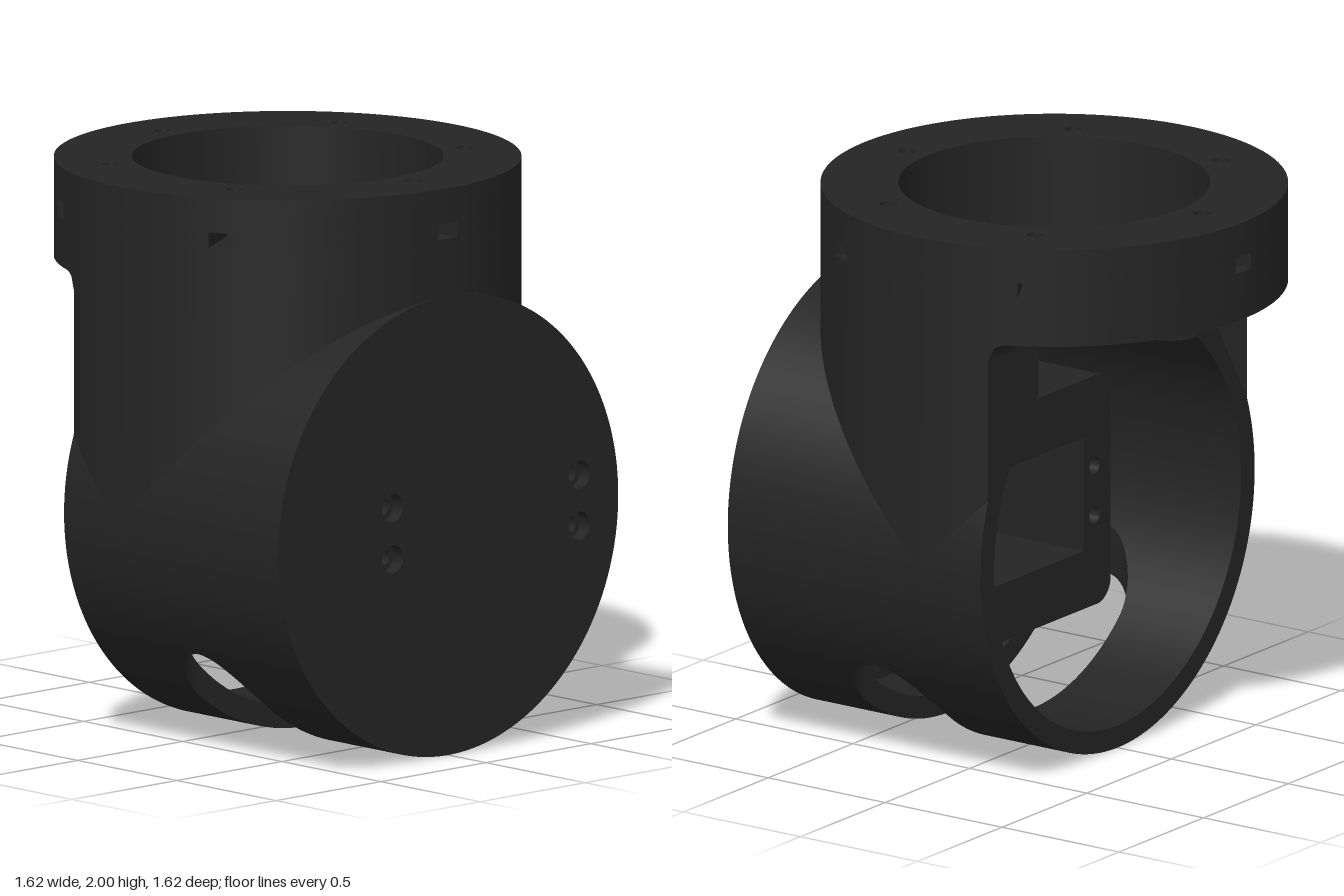
import * as THREE from 'three';

const R = 0.81;        // outer radius of both barrels
const BORE = 0.54;     // upright bore
const CAV = 0.73;      // sideways cavity
const AXIS = 0.81;     // height of the sideways axis
const OPEN = -0.27, WALL = 0.72, END = 0.81;
const COLLAR = 1.65, FIL = 0.06, TOP = 2;
const SLOT_X = 0.27, SLOT_R = 0.18, SLOT_Z = 0.5;
const root = (v) => Math.sqrt(Math.max(0, v));
const mix = THREE.MathUtils.lerp;

export function createModel() {
  const model = new THREE.Group();
  const dark = new THREE.MeshStandardMaterial({ color: 0x242424, side: THREE.DoubleSide });
  dark.name = 'charcoal plastic';

  const add = (name, geo) => {
    const m = new THREE.Mesh(geo, dark);
    m.name = name;
    model.add(m);
  };

  // Surface from a rule f(u, v) -> [x, y, z], with u and v from 0 to 1
  const grid = (name, f, nu) => {
    const pos = [], idx = [];
    for (let i = 0; i <= nu; i++) pos.push(...f(i / nu, 0), ...f(i / nu, 1));
    for (let i = 0; i < nu; i++) {
      const a = i * 2;
      idx.push(a, a + 2, a + 1, a + 2, a + 3, a + 1);
    }
    const g = new THREE.BufferGeometry();
    g.setAttribute('position', new THREE.Float32BufferAttribute(pos, 3));
    g.setIndex(idx);
    g.computeVertexNormals();
    add(name, g);
  };

  // Patch of an upright cylinder between two heights, each a rule of (x, z)
  const upright = (name, r, a0, a1, low, high, n = 96) => grid(name, (u, v) => {
    const a = mix(a0, a1, u), x = r * Math.cos(a), z = r * Math.sin(a);
    return [x, mix(low(x, z), high(x, z), v), z];
  }, n);

  // Patch of a sideways cylinder between two x limits, each a rule of z
  const sideways = (name, r, a0, a1, from, to) => grid(name, (u, v) => {
    const a = mix(a0, a1, u), z = r * Math.cos(a);
    return [mix(from(z), to(z), v), AXIS + r * Math.sin(a), z];
  }, 160);

  // Flat outline in the (-z, y) plane, turned to face along x
  const acrossX = (geo, x) => geo.rotateY(Math.PI / 2).translate(x, 0, 0);
  const punch = (shape, x, y, r) => shape.holes.push(new THREE.Path().absarc(x, y, r, 0, Math.PI * 2, true));

  // Underside of the collar, with a fillet into the body
  const under = (x) => x < OPEN - FIL ? COLLAR : COLLAR - FIL + root(FIL * FIL - (x - OPEN + FIL) ** 2);
  const band = [1.822, 1.878];
  const cutOut = Math.acos(OPEN / R), cutIn = Math.acos(OPEN / BORE);

  // Upright barrel: outside, then bore
  upright('barrelOuter', R, -cutOut, cutOut, (x) => AXIS + Math.abs(x), () => band[0], 144);
  upright('collarOuter', R, cutOut, 2 * Math.PI - cutOut, under, () => band[0]);
  upright('collarTopBand', R, 0, 2 * Math.PI, () => band[1], () => TOP, 144);
  upright('boreLower', BORE, -cutIn, cutIn, (x, z) => AXIS + root(CAV * CAV - z * z), () => TOP);
  upright('boreCollar', BORE, cutIn, 2 * Math.PI - cutIn, under, () => TOP);
  for (const s of [-1, 1]) grid('collarUnderside', (u, v) => {
    const x = u < 0.6 ? mix(-R, OPEN - FIL, u / 0.6) : mix(OPEN - FIL, OPEN, (u - 0.6) / 0.4);
    return [x, under(x), s * mix(root(BORE * BORE - x * x), root(R * R - x * x), v)];
  }, 80);

  // Collar top with six screw holes, and a nut pocket below each
  const rim = new THREE.Shape().absarc(0, 0, R, 0, Math.PI * 2);
  punch(rim, 0, 0, BORE);
  const halfPocket = 0.045, gap = Math.asin(halfPocket / R);
  for (let i = 0; i < 6; i++) {
    const a = i * Math.PI / 3;
    punch(rim, 0.63 * Math.cos(a), 0.63 * Math.sin(a), 0.03);
    upright('collarPocketBand', R, a + gap, a + Math.PI / 3 - gap, () => band[0], () => band[1], 24);
    add('screwHole', new THREE.CylinderGeometry(0.03, 0.03, TOP - band[1], 24, 1, true)
      .translate(0.63 * Math.cos(a), (TOP + band[1]) / 2, 0.63 * Math.sin(a)));
    const box = new THREE.BoxGeometry(2 * halfPocket, band[1] - band[0], 0.228);
    box.setIndex([...box.index.array].filter((_, k) => k < 24 || k >= 30)); // open outward
    box.clearGroups();
    add('nutPocket', box.translate(0, (band[0] + band[1]) / 2, 0.695).rotateY(a + Math.PI / 2));
  }
  add('collarTop', new THREE.ShapeGeometry(rim, 72).rotateX(-Math.PI / 2).translate(0, TOP, 0));

  // Sideways barrel: outer skin and cavity skin, cut by the bore above and the slot below
  const slot = (z) => Math.abs(z) < SLOT_Z ? SLOT_R : root(SLOT_R ** 2 - (Math.abs(z) - SLOT_Z) ** 2);
  for (const [name, r, hole, end] of [['shellOuter', R, R, END], ['shellInner', CAV, BORE, WALL]]) {
    const edge = (z) => root(hole * hole - z * z);
    sideways(name + 'Top', r, 0, Math.PI, edge, () => end);
    sideways(name + 'Lip', r, 0, Math.PI, () => OPEN, (z) => -Math.min(-OPEN, edge(z)));
    sideways(name + 'Bottom', r, Math.PI, 2 * Math.PI, () => OPEN, (z) => SLOT_X - slot(z));
    sideways(name + 'Bottom', r, Math.PI, 2 * Math.PI, (z) => SLOT_X + slot(z), () => end);
  }

  // Slot walls through the shell: two round ends and two straight sides
  const slotWall = (point, n) => grid('slotWall', (u, v) => {
    const [x, z] = point(u);
    return [x, AXIS - root(mix(R, CAV, v) ** 2 - z * z), z];
  }, n);
  for (const s of [-1, 1]) {
    slotWall((u) => [SLOT_X + SLOT_R * Math.cos(u * Math.PI), s * (SLOT_Z + SLOT_R * Math.sin(u * Math.PI))], 32);
    slotWall((u) => [SLOT_X + s * SLOT_R, mix(-SLOT_Z, SLOT_Z, u)], 32);
  }

  // Open end: ring joined to the two cut walls of the barrel
  const zo = root(R * R - OPEN * OPEN), zi = root(BORE * BORE - OPEN * OPEN);
  const ao = Math.acos(zo / R), ai = Math.acos(zi / CAV);
  const lip = new THREE.Shape();
  lip.moveTo(-zo, COLLAR - FIL);
  lip.absarc(0, AXIS, R, Math.PI - ao, 2 * Math.PI + ao, false);
  lip.lineTo(zo, COLLAR - FIL);
  lip.lineTo(zi, COLLAR - FIL);
  lip.absarc(0, AXIS, CAV, ai, Math.PI - ai, true);
  lip.lineTo(-zi, COLLAR - FIL);
  add('openEnd', acrossX(new THREE.ShapeGeometry(lip, 72), OPEN));

  // Closed end with four countersunk screw holes
  const screws = [];
  for (const z of [0.265, -0.625]) for (const y of [0.725, 0.905]) screws.push([-z, y]);
  const endWall = (name, radius, hole, x) => {
    const s = new THREE.Shape().absarc(0, AXIS, radius, 0, Math.PI * 2);
    for (const [u, y] of screws) punch(s, u, y, hole);
    add(name, acrossX(new THREE.ShapeGeometry(s, 72), x));
  };
  endWall('endFace', R, 0.05, END);
  endWall('endWallInside', CAV, 0.03, WALL);
  for (const [u, y] of screws) {
    const tube = (r, x0, x1) => add('mountHole', new THREE.CylinderGeometry(r, r, x1 - x0, 24, 1, true)
      .rotateZ(Math.PI / 2).translate((x0 + x1) / 2, y, -u));
    tube(0.05, 0.76, END);
    tube(0.03, WALL, 0.76);
    add('mountSeat', acrossX(new THREE.RingGeometry(0.03, 0.05, 24).translate(u, y, 0), 0.76));
  }

  // Motor block inside the cavity, with its rectangular pocket
  const y0 = 0.4, y1 = 1.23, side = -0.36, f = 0.08, rb = 0.75;
  const a0 = Math.asin((y0 - AXIS) / rb), a1 = Math.asin((y1 - AXIS) / rb);
  const block = new THREE.Shape();
  block.absarc(0, AXIS, rb, a0, a1, false);
  block.absarc(side + f, y1 - f, f, Math.PI / 2, Math.PI, false);
  block.absarc(side + f, y0 + f, f, Math.PI, Math.PI * 1.5, false);
  block.closePath();
  block.holes.push(new THREE.Path([[-0.2, 0.61], [-0.2, 1.02], [0.56, 1.02], [0.56, 0.61]]
    .map(([x, y]) => new THREE.Vector2(x, y))));
  for (const [u, y] of screws) punch(block, u, y, 0.03);
  add('motorBlock', acrossX(new THREE.ExtrudeGeometry(block,
    { depth: WALL - 0.02, bevelEnabled: false, curveSegments: 24 }), 0.02));

  return model;
}
